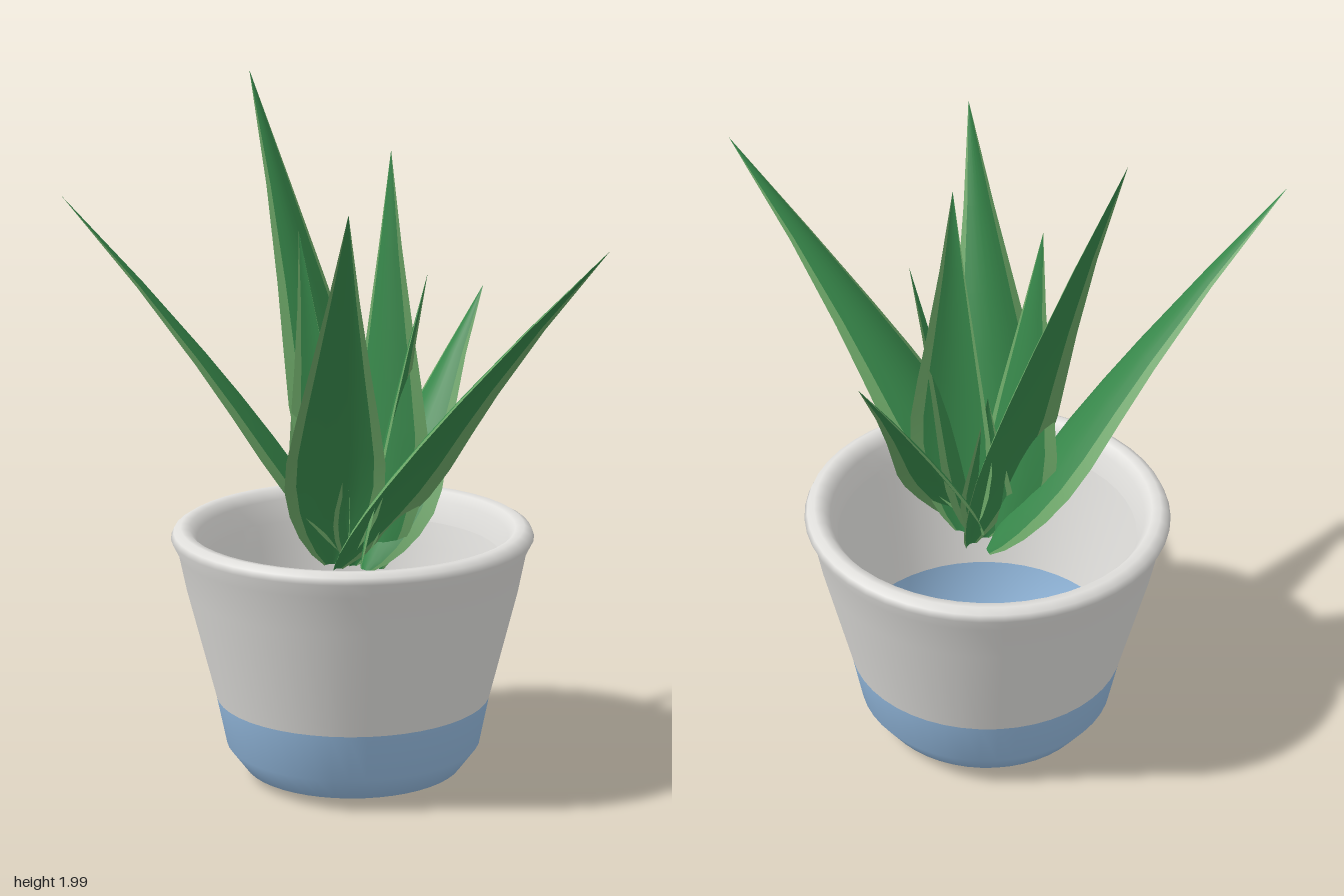
import * as THREE from 'three';

const mat = (name, color) => new THREE.MeshStandardMaterial({ name, color, side: THREE.DoubleSide });

// Half-width of a leaf along its length, as [position, fraction]
const OUTLINE = [[0, 0.15], [0.05, 0.42], [0.12, 0.68], [0.2, 0.88], [0.29, 1], [0.38, 0.98], [0.5, 0.81], [0.62, 0.61], [0.8, 0.31], [1, 0]];
const MARGIN = 0.77;

// One lengthwise strip of a channelled leaf, between u0 and u1 across its width
function leafStrip(curve, side, halfWidth, u0, u1, steps) {
  const pos = [], idx = [];
  OUTLINE.forEach(([t, f]) => {
    const p = curve.getPoint(t);
    const inner = new THREE.Vector3().crossVectors(side, curve.getTangent(t)).normalize();
    for (let i = 0; i <= steps; i++) {
      const u = u0 + (u1 - u0) * i / steps, w = halfWidth * f;
      const v = p.clone().addScaledVector(side, u * w).addScaledVector(inner, 0.36 * w * u * u);
      pos.push(v.x, v.y, v.z);
    }
  });
  const n = steps + 1;
  for (let r = 0; r < OUTLINE.length - 1; r++) {
    for (let i = 0; i < steps; i++) {
      const a = r * n + i, b = a + 1, c = a + n, d = c + 1;
      idx.push(a, b, d, a, d, c);
    }
  }
  const g = new THREE.BufferGeometry();
  g.setAttribute('position', new THREE.Float32BufferAttribute(pos, 3));
  g.setIndex(idx);
  g.computeVertexNormals();
  return g;
}

export function createModel() {
  const model = new THREE.Group();
  const white = mat('potWhite', 0xdfdedb), blue = mat('potBlue', 0x95bbe0);
  const green = mat('leafGreen', 0x37874a), pale = mat('leafEdgeGreen', 0x6ba566);
  const cx = -0.145, cz = -0.005;

  // Pot: a thin open shell, blue below and white above, with a rolled lip
  const lathe = (name, points, material) => {
    const curve = points.map(([r, y]) => new THREE.Vector2(r, y));
    const mesh = new THREE.Mesh(new THREE.LatheGeometry(curve, 48), material);
    mesh.name = name;
    mesh.position.set(cx, 0, cz);
    model.add(mesh);
  };
  lathe('potBase', [[0, 0.003], [0.24, 0.005], [0.315, 0.03], [0.367, 0.1], [0.395, 0.24]], blue);
  lathe('potWall', [[0.395, 0.24], [0.475, 0.56], [0.497, 0.67], [0.518, 0.712], [0.51, 0.73], [0.49, 0.742],
    [0.465, 0.738], [0.445, 0.712], [0.425, 0.65]], white);

  // Leaves: base, tip, half-width, and the horizontal direction they lean in
  const addLeaf = (name, base, tip, halfWidth, lean) => {
    const b = new THREE.Vector3(...base), e = new THREE.Vector3(...tip);
    const ctrl = new THREE.Vector3().lerpVectors(b, e, 0.29);
    ctrl.y = THREE.MathUtils.lerp(b.y, e.y, 0.41);
    const curve = new THREE.QuadraticBezierCurve3(b, ctrl, e);
    const side = new THREE.Vector3(lean[1], 0, -lean[0]).normalize();
    const leaf = new THREE.Group();
    leaf.name = name;
    const parts = [['blade', -MARGIN, MARGIN, 6, green], ['leftMargin', -1, -MARGIN, 1, pale], ['rightMargin', MARGIN, 1, 1, pale]];
    for (const [part, u0, u1, steps, material] of parts) {
      const mesh = new THREE.Mesh(leafStrip(curve, side, halfWidth, u0, u1, steps), material);
      mesh.name = part;
      leaf.add(mesh);
    }
    model.add(leaf);
  };

  // Outer leaves spiral: each base is shifted sideways from the pot's axis
  const outer = [[-0.61, 1.995, -0.11], [-0.75, 1.69, 0.52], [0.21, 1.72, 0.44], [-0.07, 1.37, -0.52], [0.745, 1.63, 0.03]];
  outer.forEach((tip, i) => {
    const d = new THREE.Vector2(tip[0] - cx, tip[2] - cz).normalize();
    const base = [cx - 0.01 * d.x - 0.06 * d.y, 0.62, cz - 0.01 * d.y + 0.06 * d.x];
    addLeaf('outerLeaf' + (i + 1), base, tip, 0.14, [d.x, d.y]);
  });

  // Inner leaves stand nearly upright
  const inner = [
    [[-0.07, 0.62, -0.02], [-0.12, 1.8, -0.15], 0.135, [0, -1]],
    [[-0.2, 0.62, -0.02], [-0.24, 1.59, 0.11], 0.13, [-0.2, 1]],
    [[-0.12, 0.62, -0.01], [0.065, 1.48, -0.08], 0.1, [1, -0.4]],
    [[-0.14, 0.62, 0.0], [0.0, 1.18, 0.1], 0.07, [0.7, 0.6]],
    [[-0.14, 0.62, -0.01], [-0.19, 1.15, -0.08], 0.075, [-0.6, -0.7]],
  ];
  inner.forEach((leaf, i) => addLeaf('innerLeaf' + (i + 1), ...leaf));
  return model;
}
